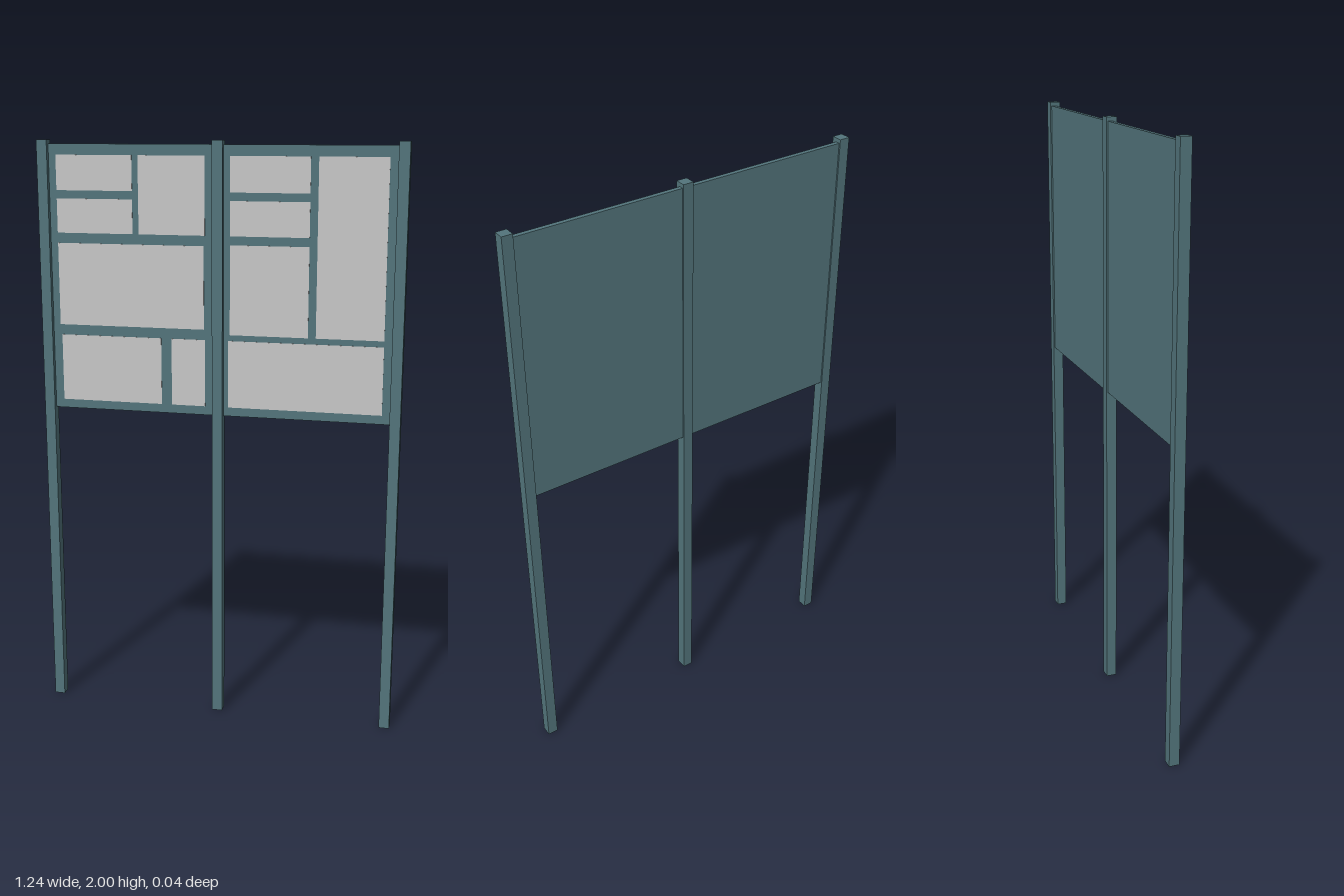
import * as THREE from 'three';

export function createModel() {
  const model = new THREE.Group();
  model.name = 'noticeBoard';

  const frameMat = new THREE.MeshStandardMaterial({ color: 0x53757c });
  frameMat.name = 'teal metal';
  const paperMat = new THREE.MeshStandardMaterial({ color: 0xc8c8c8 });
  paperMat.name = 'pale grey paper';

  // Box given by its lower and upper bounds on each axis
  function addBox(name, mat, [x0, x1], [y0, y1], [z0, z1]) {
    const mesh = new THREE.Mesh(new THREE.BoxGeometry(x1 - x0, y1 - y0, z1 - z0), mat);
    mesh.position.set((x0 + x1) / 2, (y0 + y1) / 2, (z0 + z1) / 2);
    mesh.name = name;
    model.add(mesh);
  }

  // Three square posts
  const half = 0.018;
  for (const [name, x] of [['rightPost', -0.6], ['middlePost', 0], ['leftPost', 0.6]]) {
    addBox(name, frameMat, [x - half, x + half], [0, 2], [-half, half]);
  }

  // Two board panels, set slightly towards the back of the posts
  const zBack = -0.013, zFront = 0.002;
  addBox('rightBoard', frameMat, [-0.582, -half], [1.089, 1.987], [zBack, zFront]);
  addBox('leftBoard', frameMat, [half, 0.582], [1.089, 1.987], [zBack, zFront]);

  // Notices: x0, x1, y0, y1
  const notices = [
    [-0.557, -0.293, 1.835, 1.951],
    [-0.557, -0.293, 1.694, 1.808],
    [-0.272, -0.045, 1.694, 1.951],
    [-0.557, -0.049, 1.382, 1.66],
    [-0.552, -0.198, 1.119, 1.347],
    [-0.162, -0.045, 1.119, 1.347],
    [0.04, 0.304, 1.835, 1.951],
    [0.04, 0.304, 1.694, 1.808],
    [0.04, 0.304, 1.367, 1.665],
    [0.33, 0.555, 1.367, 1.951],
    [0.035, 0.555, 1.119, 1.347],
  ];
  notices.forEach(([x0, x1, y0, y1], i) =>
    addBox(`notice${i + 1}`, paperMat, [x0, x1], [y0, y1], [zFront - 0.001, zFront + 0.001]));

  return model;
}
